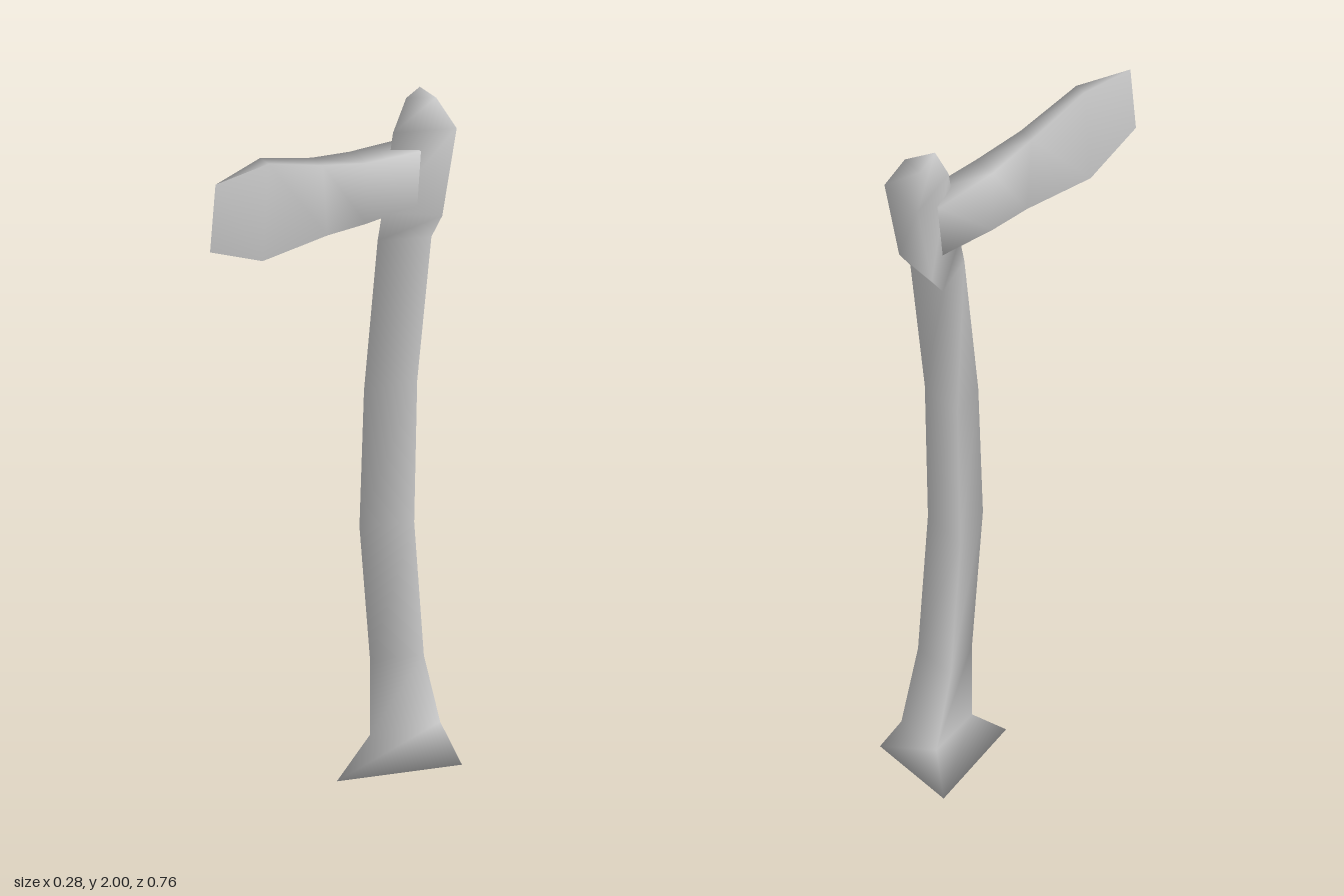
import * as THREE from 'three';

// Skins a list of equal-sized rings of [x, y, z] points and closes both ends.
// Rings run counter-clockwise when seen from the last ring's end.
function loft(name, rings, material) {
  const n = rings[0].length;
  const last = (rings.length - 1) * n;
  const index = [];
  for (let i = 0; i < rings.length - 1; i++) {
    for (let j = 0; j < n; j++) {
      const a = i * n + j;
      const b = i * n + (j + 1) % n;
      index.push(a, b, b + n, a, b + n, a + n);
    }
  }
  for (let j = 1; j < n - 1; j++) {
    index.push(0, j + 1, j);
    index.push(last, last + j, last + j + 1);
  }
  const geometry = new THREE.BufferGeometry();
  geometry.setAttribute('position', new THREE.Float32BufferAttribute(rings.flat(2), 3));
  geometry.setIndex(index);
  geometry.computeVertexNormals();
  const mesh = new THREE.Mesh(geometry, material);
  mesh.name = name;
  return mesh;
}

export function createModel() {
  const group = new THREE.Group();
  group.name = 'axe';
  const material = new THREE.MeshStandardMaterial({ color: 0xcccccc });

  // Curved triangular handle: front ridge [y, z], back edge [y, z], half width
  const handle = [
    [0, -0.04, 0, -0.345, 0.138],
    [0.1, -0.15, 0.11, -0.322, 0.076],
    [0.33, -0.15, 0.33, -0.272, 0.071],
    [0.75, -0.115, 0.75, -0.24, 0.071],
    [1.16, -0.13, 1.18, -0.25, 0.071],
    [1.6, -0.175, 1.6, -0.297, 0.071],
    [1.68, -0.19, 1.65, -0.333, 0.071],
    [1.91, -0.226, 1.9, -0.38, 0.072],
    [2, -0.27, 1.99, -0.342, 0.034],
  ].map(([yf, zf, yb, zb, w]) => [[0, yf, zf], [w, yb, zb], [-w, yb, zb]]);
  group.add(loft('handle', handle, material));

  // Blade tapering to a sharp edge: bottom [y, z], top [y, z], half width
  const blade = [
    [1.69, -0.275, 1.85, -0.287, 0.04],
    [1.695, -0.11, 1.88, -0.11, 0.036],
    [1.7, 0.01, 1.92, 0.025, 0.024],
    [1.7, 0.22, 1.99, 0.2, 0.018],
    [1.78, 0.38, 1.98, 0.362, 0],
  ].map(([yb, zb, yt, zt, w]) => [[w, yb, zb], [w, yt, zt], [-w, yt, zt], [-w, yb, zb]]);
  group.add(loft('blade', blade, material));

  return group;
}
